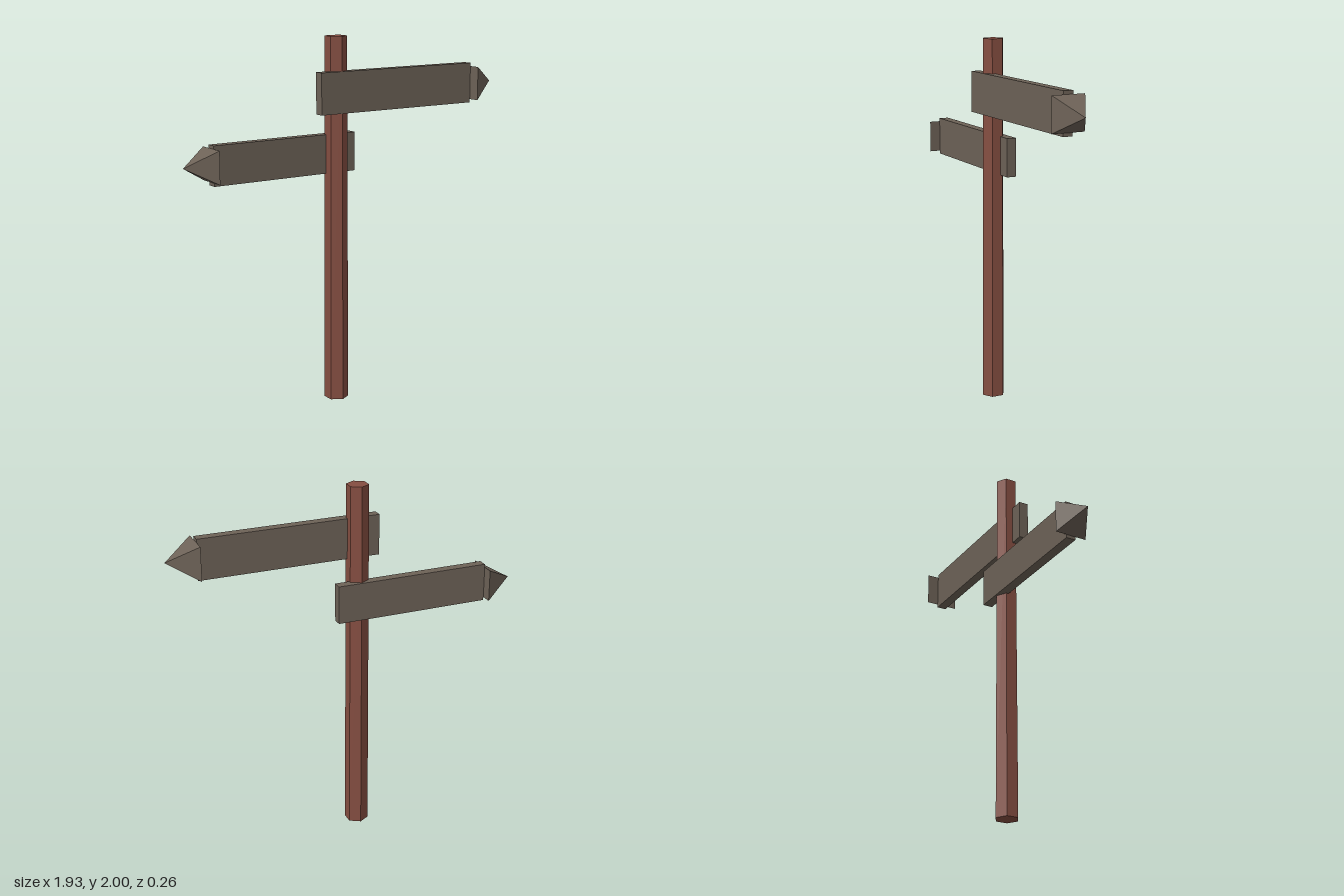
import * as THREE from 'three';

const postWood = new THREE.MeshStandardMaterial({ color: 0x854e41, flatShading: true });
postWood.name = 'red brown wood';
const boardWood = new THREE.MeshStandardMaterial({ color: 0x6d6257, flatShading: true });
boardWood.name = 'grey brown wood';

// A board from xTail to xEnd, with a square pyramid pointing outwards at xEnd
function createSign(name, xTail, xEnd, y, z, height, tipWidth) {
  const sign = new THREE.Group();
  sign.name = name;
  const dir = Math.sign(xEnd - xTail);

  const board = new THREE.Mesh(
    new THREE.BoxGeometry(Math.abs(xEnd - xTail), height, 0.053), boardWood);
  board.name = 'board';
  board.position.set((xTail + xEnd) / 2, y, z);

  const tipLength = 0.163;
  const tipGeometry = new THREE.ConeGeometry(tipWidth / Math.SQRT2, tipLength, 4)
    .rotateY(Math.PI / 4)
    .rotateZ(-dir * Math.PI / 2);
  const tip = new THREE.Mesh(tipGeometry, boardWood);
  tip.name = 'arrowTip';
  tip.position.set(xEnd + dir * tipLength / 2, y, z);

  sign.add(board, tip);
  return sign;
}

export function createModel() {
  const model = new THREE.Group();
  model.name = 'signpost';

  // Slightly tapered six-sided post
  const post = new THREE.Mesh(new THREE.CylinderGeometry(0.06, 0.066, 2, 6), postWood);
  post.name = 'post';
  post.position.set(-0.069, 1, 0);

  model.add(
    post,
    createSign('upperSign', -0.2, 0.8, 1.704, 0.037, 0.223, 0.186),
    createSign('lowerSign', 0.065, -0.8, 1.37, -0.044, 0.211, 0.176),
  );
  return model;
}
